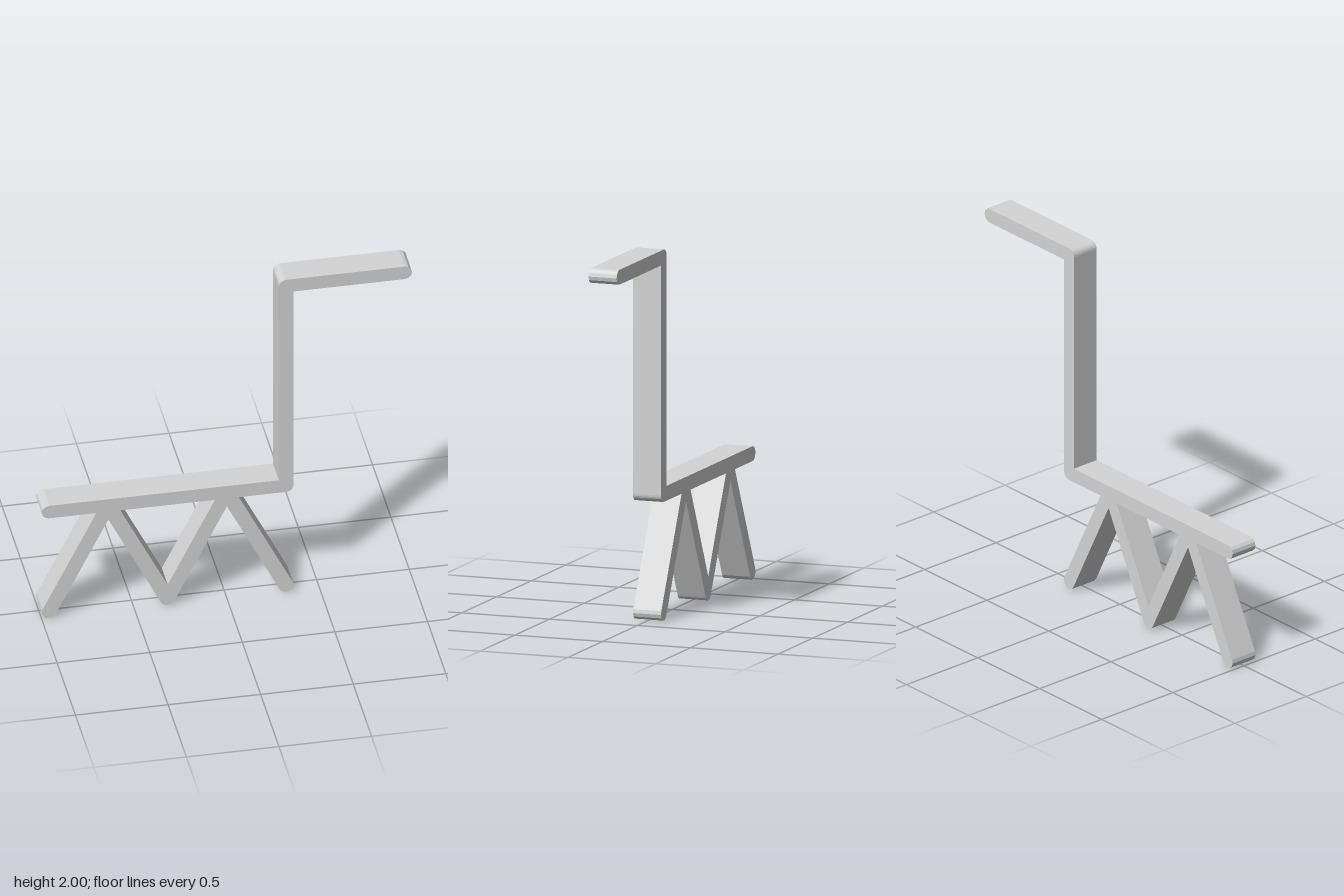
import * as THREE from 'three';

const R = 0.04;      // half the bar thickness
const DEPTH = 0.16;
const FOOT_Y = 0.04, BEAM_Y = 0.68, HEAD_Y = 1.96;
const NECK_X = 0.32, TAIL_X = -0.96, NOSE_X = 0.96;
const SPREAD = 0.32; // sideways run of each leg
const PI = Math.PI;

function extrude(name, shape, material) {
  const geometry = new THREE.ExtrudeGeometry(shape, { depth: DEPTH, bevelEnabled: false, curveSegments: 3 });
  geometry.translate(0, 0, -DEPTH / 2);
  const mesh = new THREE.Mesh(geometry, material);
  mesh.name = name;
  return mesh;
}

// Leg from a peak at x = 0 down to +x; a free leg has a round foot,
// the others are cut upright where two legs meet in a valley
function legShape(free) {
  const rise = BEAM_Y - FOOT_Y;
  const lean = Math.atan2(SPREAD, rise);
  const half = R / Math.cos(lean);         // half width measured along x
  const notch = half * rise / SPREAD;      // crotch distance from the joint centre
  const under = BEAM_Y - R;
  const shape = new THREE.Shape();
  shape.moveTo(0, under);
  shape.lineTo(0, BEAM_Y - notch);
  shape.absarc(SPREAD, FOOT_Y, R, PI + lean, free ? 2 * PI + lean : 1.5 * PI, false);
  if (!free) shape.lineTo(SPREAD, FOOT_Y + notch);
  shape.lineTo(half + R * SPREAD / rise, under);
  return shape;
}

export function createModel() {
  const group = new THREE.Group();
  group.name = 'stickAnimal';
  const grey = new THREE.MeshStandardMaterial({ color: 0xd5d5d5 });
  grey.name = 'light grey';

  // Back, neck and head: one bent bar with rounded ends and outer corners
  const body = new THREE.Shape();
  body.moveTo(TAIL_X, BEAM_Y - R);
  body.absarc(NECK_X, BEAM_Y, R, -PI / 2, 0, false);
  body.lineTo(NECK_X + R, HEAD_Y - R);
  body.absarc(NOSE_X, HEAD_Y, R, -PI / 2, PI / 2, false);
  body.absarc(NECK_X, HEAD_Y, R, PI / 2, PI, false);
  body.lineTo(NECK_X - R, BEAM_Y + R);
  body.absarc(TAIL_X, BEAM_Y, R, PI / 2, PI * 1.5, false);
  group.add(extrude('backNeckAndHead', body, grey));

  // Legs: two peaks under the back, the inner legs meeting in the middle
  for (const [name, x, side, free] of [
    ['rearOuterLeg', -2 * SPREAD, -1, true],
    ['rearInnerLeg', -2 * SPREAD, 1, false],
    ['frontInnerLeg', 0, -1, false],
    ['frontOuterLeg', 0, 1, true],
  ]) {
    const leg = extrude(name, legShape(free), grey);
    leg.position.x = x;
    leg.rotation.y = side < 0 ? PI : 0;
    group.add(leg);
  }

  return group;
}
